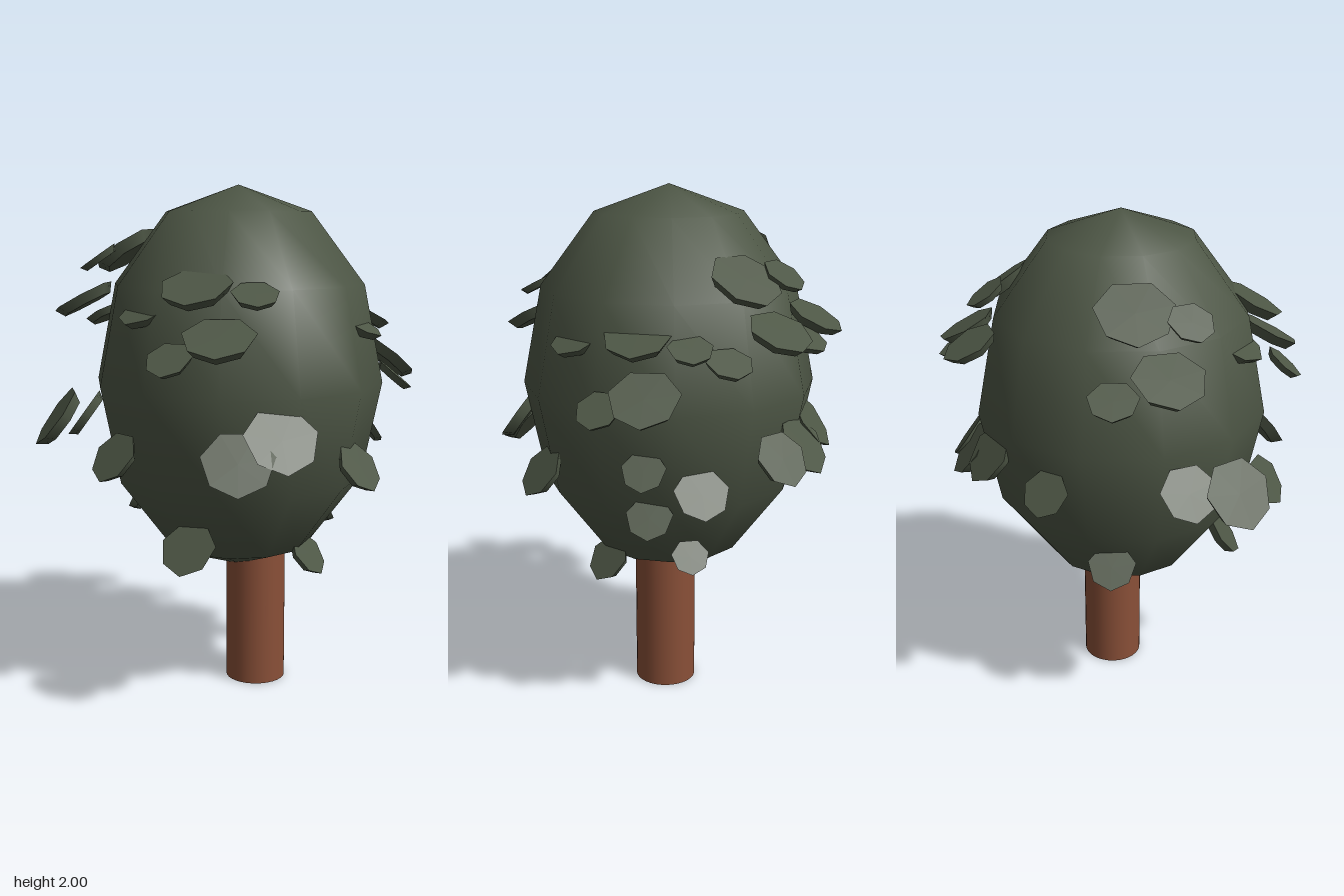
import * as THREE from 'three';

const foliage = new THREE.MeshStandardMaterial({ color: 0x4d5645 });
foliage.name = 'darkGreenFoliage';
const bark = new THREE.MeshStandardMaterial({ color: 0x8a5038 });
bark.name = 'brownBark';

const CROWN = new THREE.Vector3(0.035, 1.24, -0.015);

// Leaf clumps: x, y, z, diameter
const LEAVES = [
  // front, upper cluster
  [0.06, 1.62, 0.49, 0.26], [0.27, 1.6, 0.46, 0.17], [-0.17, 1.53, 0.4, 0.22],
  [0.18, 1.45, 0.58, 0.26], [0.01, 1.38, 0.62, 0.17],
  // front, lower
  [-0.25, 1.0, 0.52, 0.21], [0.25, 1.02, 0.58, 0.26], [0.37, 1.09, 0.47, 0.27],
  [-0.01, 0.64, 0.4, 0.22],
  // +x side, upper cluster
  [0.52, 1.47, 0.0, 0.2], [0.47, 1.5, -0.25, 0.25], [0.4, 1.47, -0.43, 0.16],
  [0.56, 1.31, -0.36, 0.25], [0.62, 1.26, -0.2, 0.17],
  // +x side, lower
  [0.36, 0.94, -0.45, 0.2], [0.5, 1.03, -0.3, 0.16], [0.46, 0.84, -0.29, 0.17],
  [0.29, 0.65, -0.34, 0.14], [0.34, 0.56, 0.03, 0.19], [0.57, 0.95, 0.15, 0.21],
  // back, upper cluster
  [0.15, 1.68, -0.47, 0.27], [-0.01, 1.69, -0.52, 0.17], [0.13, 1.51, -0.61, 0.24],
  [0.01, 1.48, -0.63, 0.18], [-0.13, 1.53, -0.58, 0.22], [0.31, 1.42, -0.53, 0.17],
  // back, lower
  [0.12, 1.05, -0.62, 0.22], [-0.04, 1.06, -0.6, 0.24], [-0.2, 1.11, -0.52, 0.24],
  [-0.45, 1.07, -0.31, 0.18],
  // -x side
  [-0.43, 1.74, 0.01, 0.28], [-0.46, 1.72, 0.2, 0.17], [-0.57, 1.55, 0.12, 0.26],
  [-0.57, 1.48, -0.07, 0.18], [-0.56, 1.11, 0.37, 0.27], [-0.53, 1.1, 0.2, 0.22],
  [-0.4, 0.72, -0.07, 0.18],
];

// Thin seven-sided clump: point outward (+z), wide at the root, narrower underside
function leafGeometry() {
  const g = new THREE.CylinderGeometry(0.5, 0.4, 0.15, 7);
  const p = g.attributes.position;
  for (let i = 0; i < p.count; i++) p.setX(i, p.getX(i) * (1.03 - 0.2 * p.getZ(i)));
  g.computeBoundingSphere();
  return g;
}

// Leans a clump outward and down, steeper lower on the crown
function addLeaf(group, geometry, [x, y, z, size]) {
  const radial = new THREE.Vector3(x - CROWN.x, 0, z - CROWN.z).normalize();
  const up = new THREE.Vector3(0, 1, 0);
  const slope = THREE.MathUtils.degToRad(y > 1.65 ? 35 : y > 1.4 ? 28 : y > 1.2 ? 40 : 54);
  const out = radial.clone().multiplyScalar(Math.cos(slope)).addScaledVector(up, -Math.sin(slope));
  const normal = radial.clone().multiplyScalar(Math.sin(slope)).addScaledVector(up, Math.cos(slope));
  const side = new THREE.Vector3().crossVectors(normal, out);
  const leaf = new THREE.Mesh(geometry, foliage);
  leaf.name = 'leafClump';
  leaf.quaternion.setFromRotationMatrix(new THREE.Matrix4().makeBasis(side, normal, out));
  leaf.position.set(x, y, z);
  leaf.scale.setScalar(size);
  group.add(leaf);
}

export function createModel() {
  const tree = new THREE.Group();
  tree.name = 'tree';

  // Trunk
  const trunk = new THREE.Mesh(new THREE.CylinderGeometry(0.12, 0.12, 0.8, 32), bark);
  trunk.name = 'trunk';
  trunk.position.set(0.1, 0.4, -0.05);
  tree.add(trunk);

  // Egg-shaped crown
  const crown = new THREE.Mesh(new THREE.SphereGeometry(1, 12, 6), foliage);
  crown.name = 'crown';
  crown.scale.set(0.57, 0.76, 0.57);
  crown.rotation.y = THREE.MathUtils.degToRad(-17);
  crown.position.copy(CROWN);
  tree.add(crown);

  // Leaf clumps
  const leaves = new THREE.Group();
  leaves.name = 'leafClumps';
  const geometry = leafGeometry();
  LEAVES.forEach((leaf) => addLeaf(leaves, geometry, leaf));
  tree.add(leaves);

  return tree;
}
